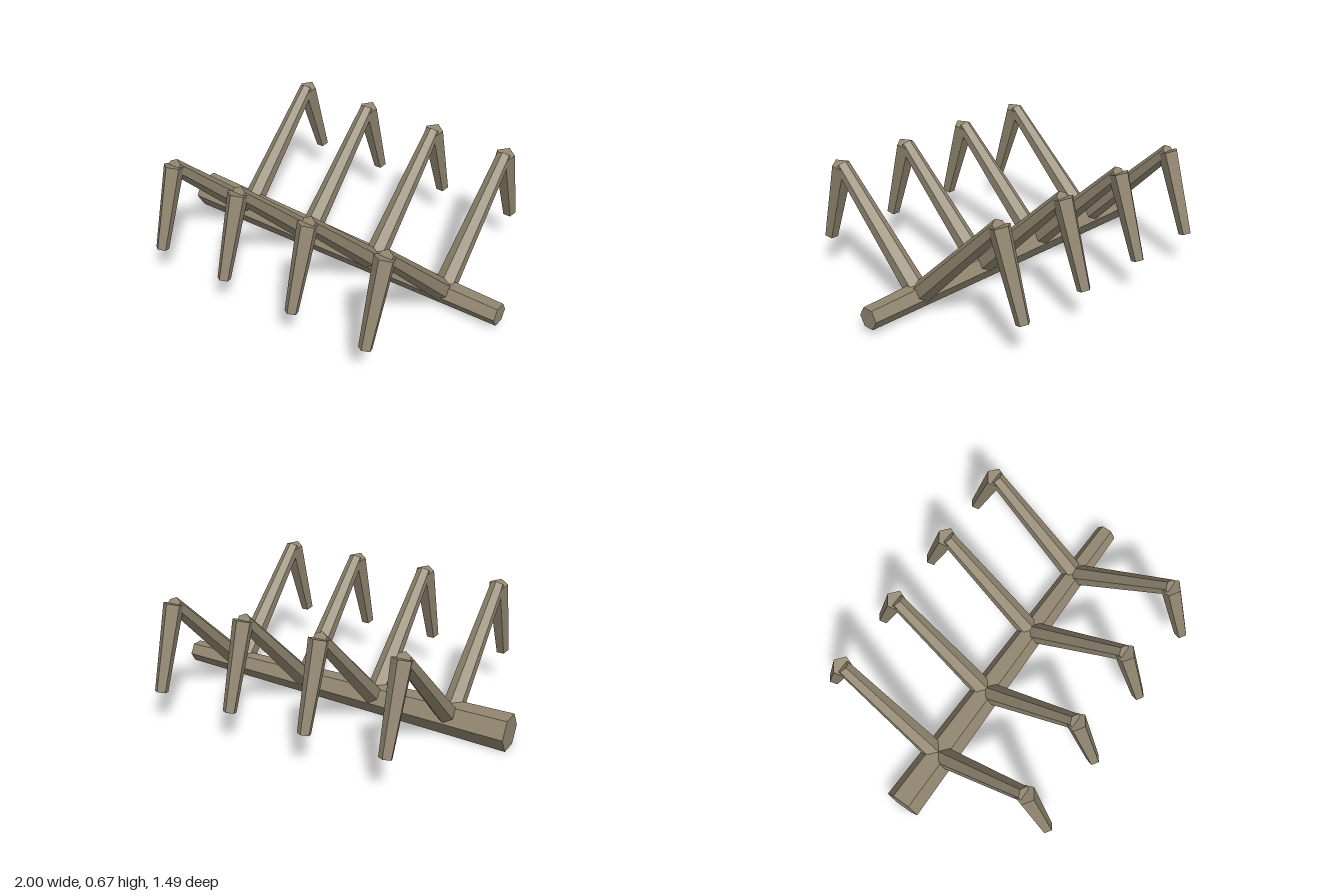
import * as THREE from 'three';

const bone = new THREE.MeshStandardMaterial({ color: 0x918670 });
bone.name = 'weathered bone';

// Faceted tapered bar, standing on y
function bar(name, rTop, rBottom, length, sides) {
  const geometry = new THREE.CylinderGeometry(rTop, rBottom, length, sides).toNonIndexed();
  geometry.computeVertexNormals();
  const mesh = new THREE.Mesh(geometry, bone);
  mesh.name = name;
  return mesh;
}

// Bar between two [y, z] points, a ridge always lying in the yz plane
function limb(name, low, high, rLow, rHigh, sides) {
  const dy = high[0] - low[0], dz = high[1] - low[1];
  const mesh = bar(name, rHigh, rLow, Math.hypot(dy, dz), sides);
  mesh.rotation.x = Math.atan2(dz, dy);
  mesh.position.set(0, (low[0] + high[0]) / 2, (low[1] + high[1]) / 2);
  return mesh;
}

// Rib: rising inner segment and drooping outer segment
function rib() {
  const root = [0.087, 0], knee = [0.642, 0.563], tip = [0.197, 0.709];
  const group = new THREE.Group();
  group.add(limb('innerRib', root, knee, 0.06, 0.04, 6));
  group.add(limb('outerRib', tip, knee, 0.036, 0.056, 5));
  return group;
}

export function createModel() {
  const model = new THREE.Group();
  model.name = 'ribbedSpine';

  // Tapered six-sided spine along x
  const spine = bar('spine', 0.06, 0.1, 2, 6);
  spine.rotation.z = -Math.PI / 2;
  spine.position.y = 0.0866;
  model.add(spine);

  // Four pairs of ribs, front and back
  for (let i = 0; i < 4; i++) {
    for (const side of ['front', 'back']) {
      const r = rib();
      r.name = side + 'Rib' + (i + 1);
      r.position.x = -0.667 + i * 0.4445;
      r.rotation.y = side === 'front' ? 0 : Math.PI;
      model.add(r);
    }
  }
  return model;
}
